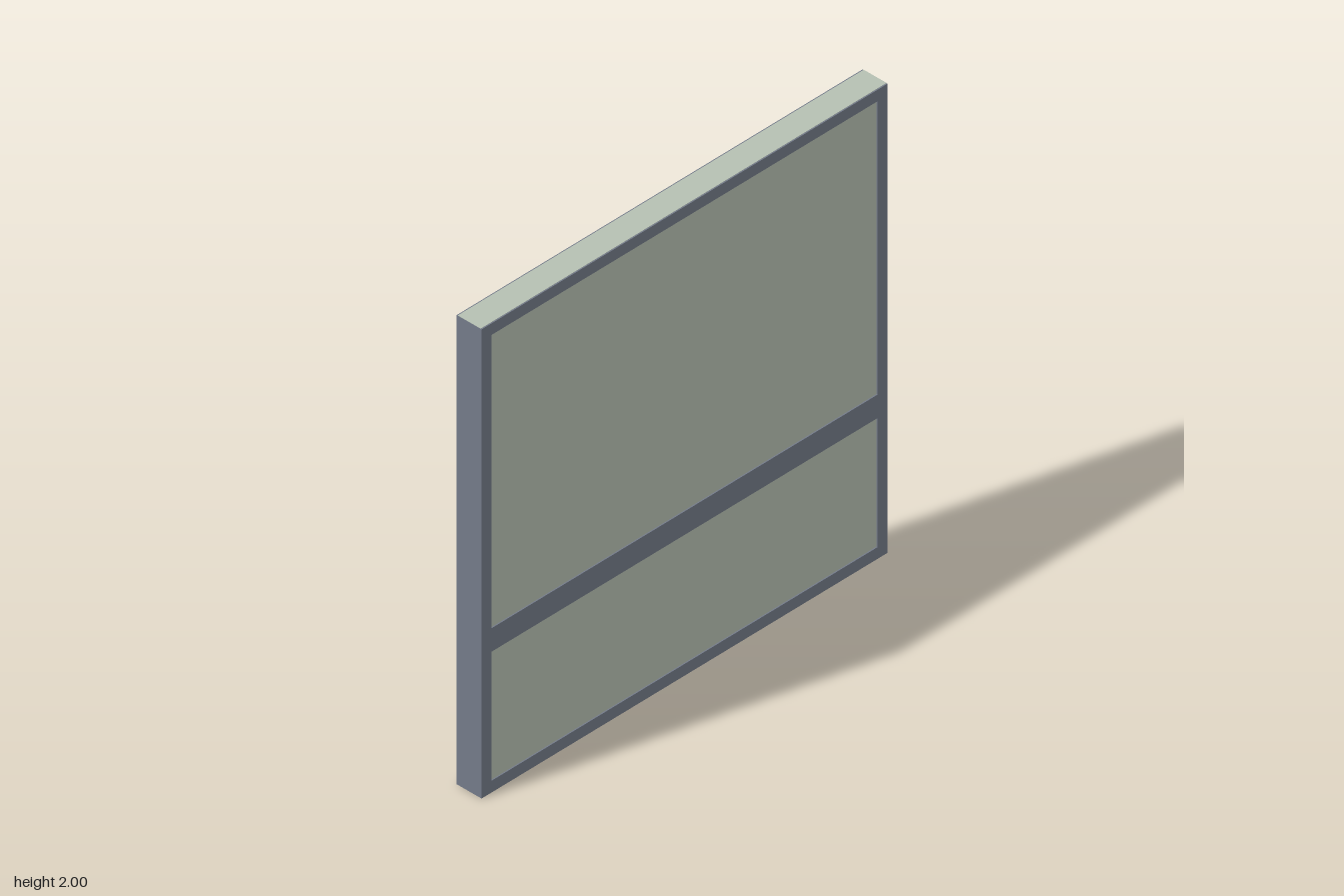
import * as THREE from 'three';

// Rectangular hole outline
function rectPath(path, x0, y0, x1, y1) {
  path.moveTo(x0, y0);
  path.lineTo(x1, y0);
  path.lineTo(x1, y1);
  path.lineTo(x0, y1);
  path.closePath();
  return path;
}

export function createModel() {
  const model = new THREE.Group();
  model.name = 'framedWindow';
  const frameMaterial = new THREE.MeshStandardMaterial({ color: 0x747b89 });
  frameMaterial.name = 'slateGrey';
  const paneMaterial = new THREE.MeshStandardMaterial({ color: 0xb6c0b2 });
  paneMaterial.name = 'paleGreen';

  const gap = 0.001; // keeps outer faces of frame and pane from coinciding

  // Frame with a crossbar: one outline with two openings
  const outline = rectPath(new THREE.Shape(), -1, 0, 1 - gap, 2 - gap);
  for (const [bottom, top] of [[0.05, 0.6], [0.7, 1.95]]) {
    outline.holes.push(rectPath(new THREE.Path(), -0.95, bottom, 0.95, top));
  }
  const frameDepth = 0.12;
  const frameGeometry = new THREE.ExtrudeGeometry(outline, { depth: frameDepth, bevelEnabled: false });
  frameGeometry.translate(0, 0, -frameDepth / 2);
  const frame = new THREE.Mesh(frameGeometry, frameMaterial);
  frame.name = 'frame';
  model.add(frame);

  // Pane slab, slightly recessed, showing on the top and left edges
  const pane = new THREE.Mesh(new THREE.BoxGeometry(2 - gap, 2 - gap, 0.11), paneMaterial);
  pane.position.set(gap / 2, 1 + gap / 2, 0);
  pane.name = 'pane';
  model.add(pane);

  return model;
}
